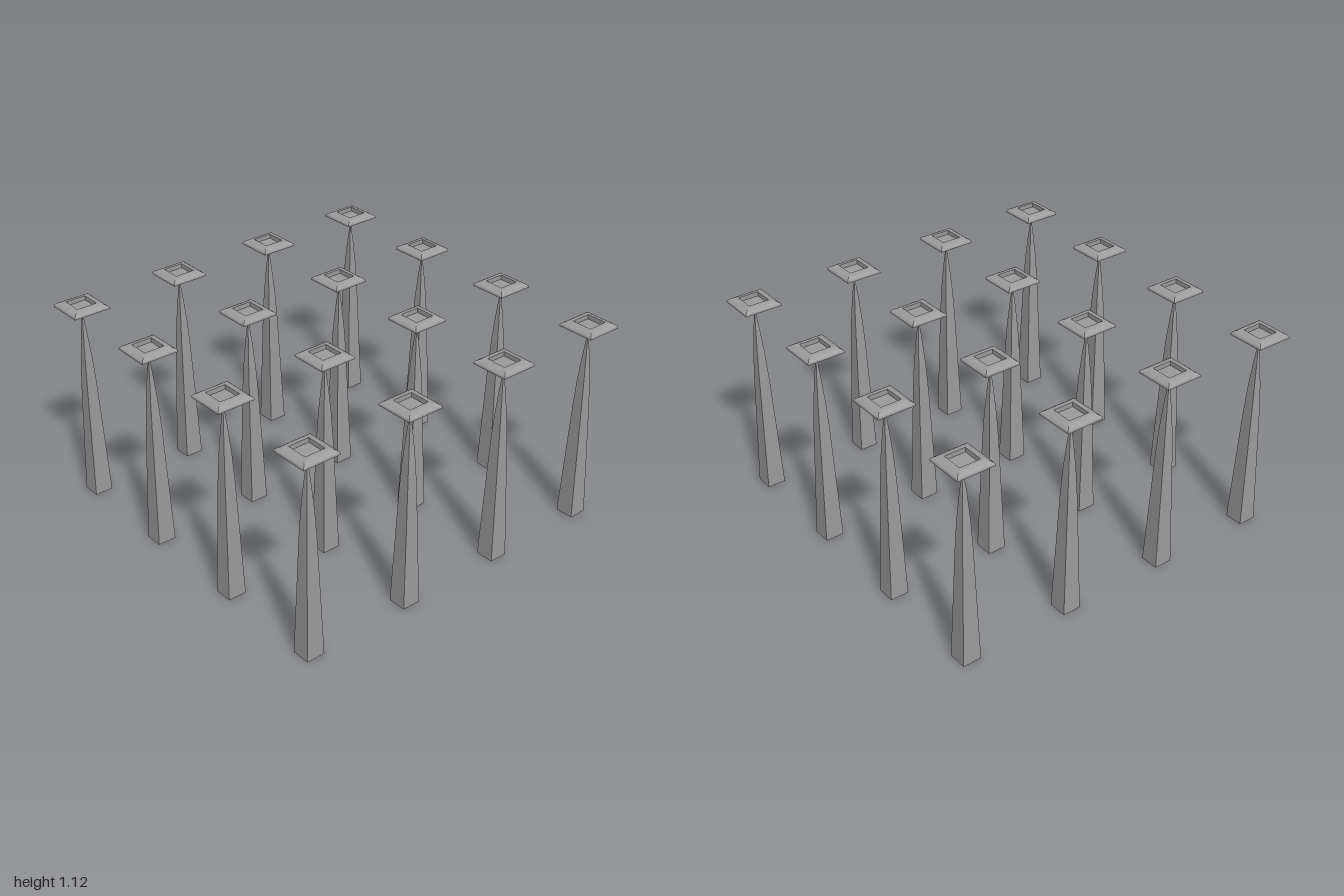
import * as THREE from 'three';

// Square-sided surface swept from [half width, height] points
function squareLathe(profile) {
  const points = profile.map(([half, y]) => new THREE.Vector2(half * Math.SQRT2, y));
  return new THREE.LatheGeometry(points, 4, Math.PI / 4);
}

export function createModel() {
  const model = new THREE.Group();
  model.name = 'columnGrid';
  const material = new THREE.MeshStandardMaterial({
    color: 0x9b9b9b, flatShading: true, side: THREE.DoubleSide,
  });

  // Slender shaft: straight taper, then a gentle curve to a point; open at the foot
  const shaftGeometry = squareLathe([
    [0.05, 0], [0.029, 0.65], [0.022, 0.8], [0.012, 0.94], [0, 1.075],
  ]);

  // Hollow square cap: rounded bevel outside, sunken tray in the middle, open below
  const capGeometry = squareLathe([
    [0.101, 1.09], [0.101, 1.099], [0.098, 1.104], [0.09, 1.11], [0.081, 1.115],
    [0.071, 1.119], [0.06, 1.12], [0.055, 1.12], [0.055, 1.096], [0, 1.096],
  ]);

  // Four by four grid of columns
  const positions = [-0.897, -0.299, 0.299, 0.897];
  for (const x of positions) {
    for (const z of positions) {
      const column = new THREE.Group();
      column.name = 'column';
      const shaft = new THREE.Mesh(shaftGeometry, material);
      shaft.name = 'shaft';
      const cap = new THREE.Mesh(capGeometry, material);
      cap.name = 'cap';
      column.add(shaft, cap);
      column.position.set(x, 0, z);
      model.add(column);
    }
  }
  return model;
}
